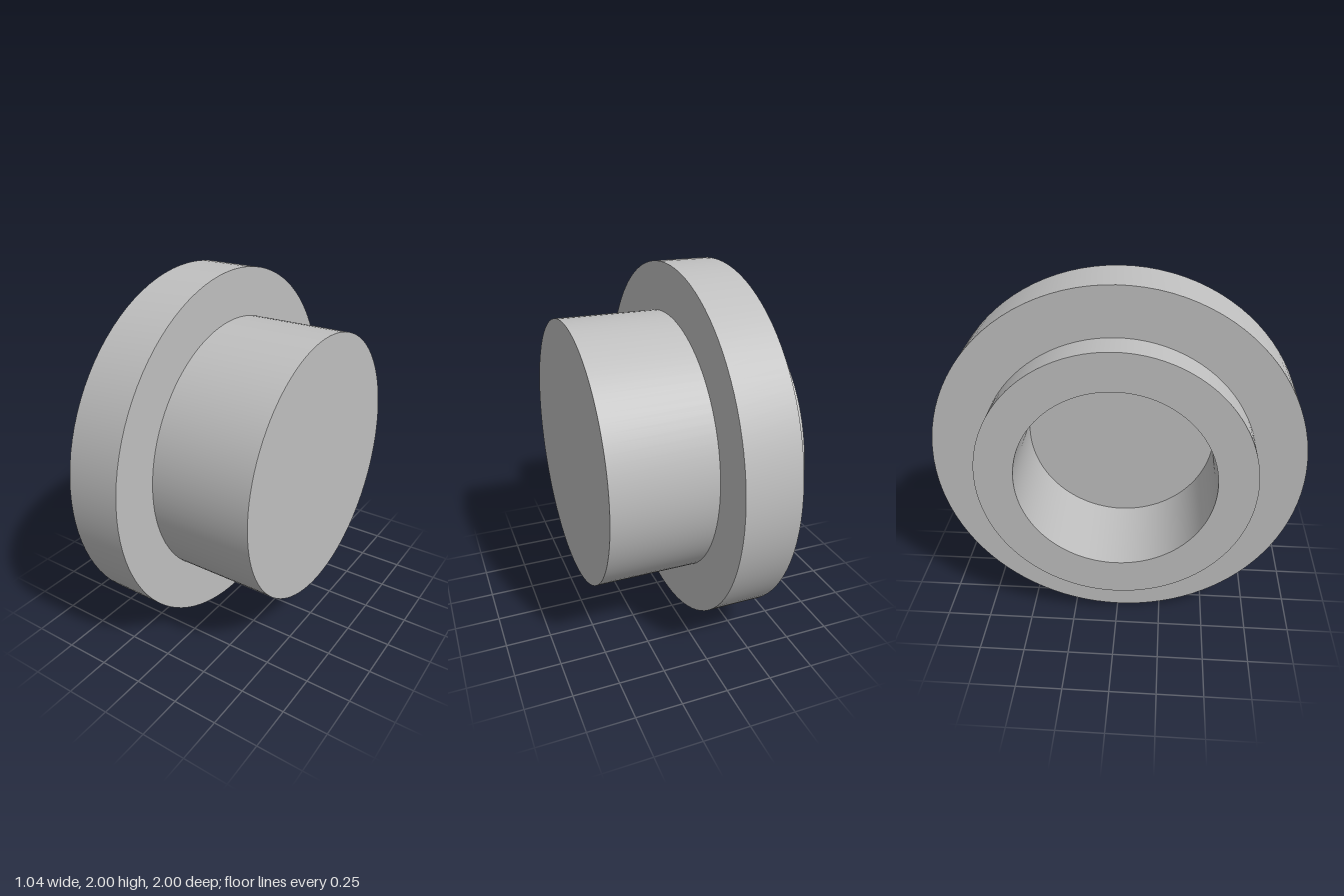
import * as THREE from 'three';
import { toCreasedNormals } from 'three/addons/utils/BufferGeometryUtils.js';

const SEGMENTS = 96;

// Turns a [radius, x] profile around the x axis, with crisp edges
function turned(name, profile, material) {
  const points = profile.map(([r, x]) => new THREE.Vector2(r, x));
  const lathe = new THREE.LatheGeometry(points, SEGMENTS).rotateZ(-Math.PI / 2);
  const mesh = new THREE.Mesh(toCreasedNormals(lathe, Math.PI / 6), material);
  mesh.name = name;
  mesh.position.y = 1;
  return mesh;
}

export function createModel() {
  const group = new THREE.Group();
  group.name = 'flangedPlug';
  const steel = new THREE.MeshStandardMaterial({ color: 0xbfbfbf });
  steel.name = 'light grey steel';

  // Barrel: blind bore open towards -x, solid end at +x
  group.add(turned('barrel', [
    [0, -0.02], [0.53, -0.02], [0.53, -0.52],
    [0.737, -0.52], [0.737, 0.52], [0, 0.52],
  ], steel));

  // Flange: wide collar around the barrel
  group.add(turned('flange', [
    [0.737, -0.35], [1, -0.35], [1, -0.047], [0.737, -0.047],
  ], steel));

  return group;
}
